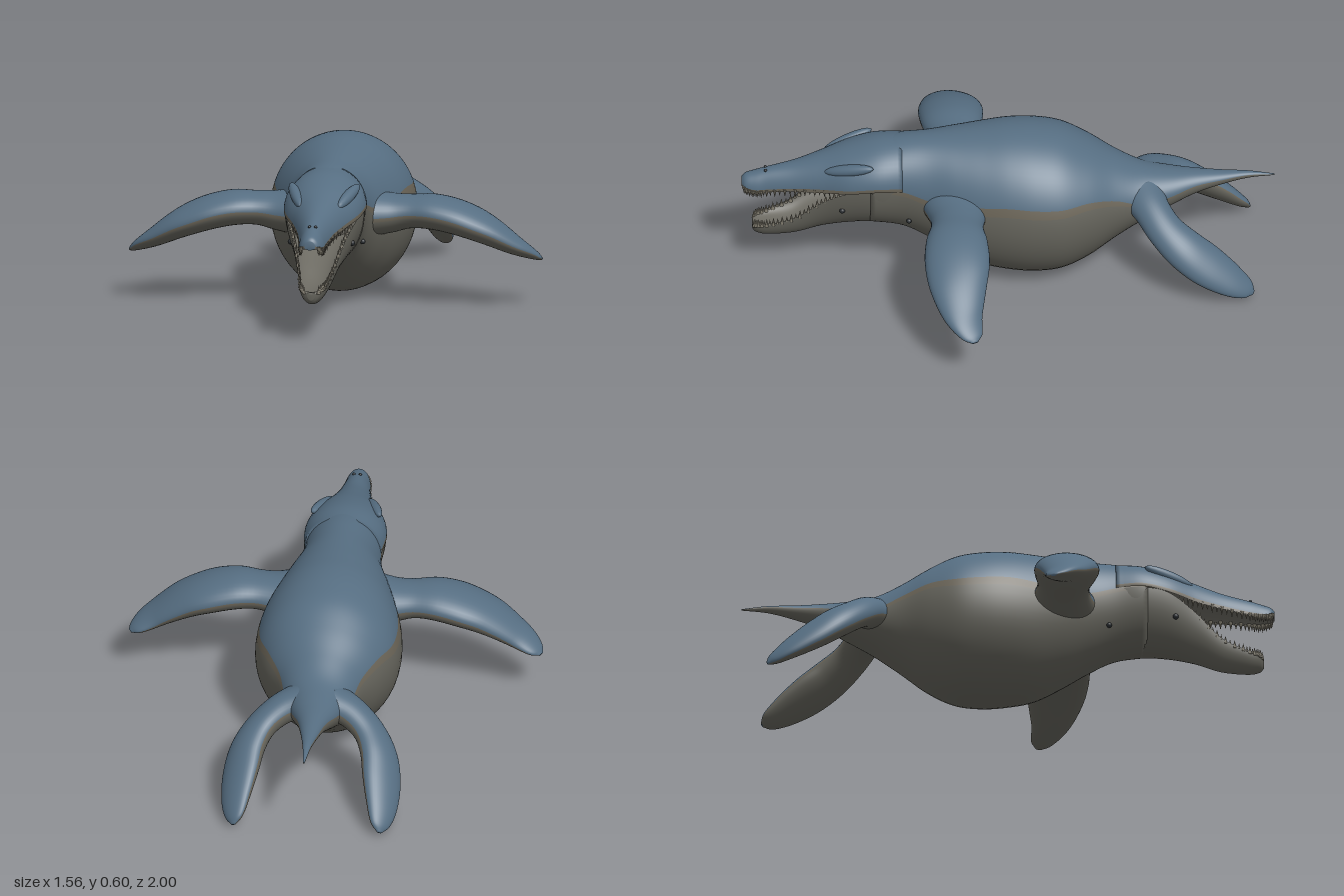
import * as THREE from 'three';

const mat = (name, color, side = THREE.FrontSide) => {
  const m = new THREE.MeshStandardMaterial({ color, side });
  m.name = name;
  return m;
};

// Skin a list of rings; the first half of each ring is the upper side.
// Groups: 0 upper skin, 1 thin transition band, 2 underside, 3 end caps.
function loft(rings, flip = false) {
  const n = rings[0].length, last = rings.length - 1;
  const pos = rings.flat().flatMap((p) => [p.x, p.y, p.z]);
  const buckets = [[], [], [], []];
  const tri = (g, a, b, c) => buckets[g].push(...(flip ? [a, c, b] : [a, b, c]));
  for (let j = 0; j < n; j++) {
    const k = (j + 1) % n;
    const g = j < n / 2 ? 0 : j === n / 2 || j === n - 1 ? 1 : 2;
    for (let i = 0; i < last; i++) {
      const a = i * n + j, b = i * n + k;
      tri(g, a, a + n, b);
      tri(g, b, a + n, b + n);
    }
  }
  [0, last].forEach((i, e) => {
    const c = new THREE.Vector3();
    rings[i].forEach((p) => c.addScaledVector(p, 1 / n));
    const ci = pos.length / 3;
    pos.push(c.x, c.y, c.z);
    for (let j = 0; j < n; j++) {
      const a = i * n + j, b = i * n + ((j + 1) % n);
      if (e) tri(3, ci, b, a); else tri(3, ci, a, b);
    }
  });
  const geo = new THREE.BufferGeometry();
  geo.setAttribute('position', new THREE.Float32BufferAttribute(pos, 3));
  geo.setIndex(buckets.flat());
  let start = 0;
  buckets.forEach((b, g) => { geo.addGroup(start, b.length, g); start += b.length; });
  geo.computeVertexNormals();
  return geo;
}

// Smoothly sample a table of stations with up to six columns
function sample(rows, steps) {
  const curve = (o) => new THREE.CatmullRomCurve3(
    rows.map((r) => new THREE.Vector3(r[o], r[o + 1] ?? 0, r[o + 2] ?? 0)), false, 'catmullrom', 0.5);
  const a = curve(0), b = curve(3);
  return Array.from({ length: steps + 1 }, (_, i) =>
    [...a.getPoint(i / steps).toArray(), ...b.getPoint(i / steps).toArray()]);
}

// Trunk or jaw: stations are [z, half width, top, bottom, widest height, colour line]
function trunk(rows, steps, n) {
  return loft(sample(rows, steps).map(([z, w, top, bot, mid, line]) => {
    const d = line - mid;
    const s = Math.abs(d) < 1e-5 ? 0 : d / (d > 0 ? top - mid : mid - bot);
    const a = Math.asin(THREE.MathUtils.clamp(s, -0.9, 0.9));
    return Array.from({ length: n }, (_, j) => {
      const u = j / (n / 2);
      const t = u < 1 ? a + u * (Math.PI - 2 * a) : Math.PI - a + (u - 1) * (Math.PI + 2 * a);
      const sn = Math.sin(t);
      return new THREE.Vector3(w * Math.cos(t), mid + sn * (sn > 0 ? top - mid : mid - bot), z);
    });
  }));
}

// Flipper: stations are [x, y, z, half chord, half thickness], root to tip
function flipper(rows, up, side, n = 36) {
  const st = sample(rows, 40);
  const P = st.map((r) => new THREE.Vector3(r[0], r[1], r[2]));
  return loft(st.map((r, i) => {
    const T = P[Math.min(i + 1, 40)].clone().sub(P[Math.max(i - 1, 0)]).normalize();
    const chord = T.clone().cross(up).normalize();
    const thick = chord.clone().cross(T);
    return Array.from({ length: n }, (_, j) => {
      const t = (j / n) * Math.PI * 2;
      const p = P[i].clone().addScaledVector(chord, Math.cos(t) * r[3])
        .addScaledVector(thick, Math.sin(t) * r[4]);
      p.x *= side;
      return p;
    });
  }), side < 0);
}

export function createModel() {
  const root = new THREE.Group();
  root.name = 'marineReptile';
  const blue = mat('slateBlueBack', 0x566e82);
  const brown = mat('brownTransition', 0x6a6457);
  const grey = mat('greyBelly', 0x64635b);
  const mouth = mat('mouthLining', 0x6c6a62);
  const bone = mat('teeth', 0x7d786b);
  const dark = mat('darkSpots', 0x2b2f33);
  const add = (name, geo, m) => {
    const mesh = new THREE.Mesh(geo, m);
    mesh.name = name;
    root.add(mesh);
    return mesh;
  };

  // Body from the neck to the tail tip
  add('body', trunk([
    [0.52, 0.15, 0.553, 0.213, 0.41, 0.44],
    [0.4, 0.145, 0.57, 0.19, 0.40, 0.42],
    [0.3, 0.165, 0.578, 0.14, 0.36, 0.39],
    [0.2, 0.205, 0.587, 0.08, 0.33, 0.385],
    [0.1, 0.24, 0.597, 0.03, 0.31, 0.40],
    [0, 0.265, 0.605, 0.01, 0.305, 0.41],
    [-0.1, 0.275, 0.60, 0.003, 0.305, 0.405],
    [-0.2, 0.265, 0.58, 0.015, 0.305, 0.40],
    [-0.3, 0.225, 0.53, 0.06, 0.31, 0.40],
    [-0.4, 0.165, 0.47, 0.13, 0.31, 0.37],
    [-0.5, 0.125, 0.42, 0.20, 0.31, 0.33],
    [-0.6, 0.09, 0.402, 0.255, 0.33, 0.335],
    [-0.7, 0.055, 0.395, 0.305, 0.35, 0.36],
    [-0.8, 0.032, 0.39, 0.338, 0.365, 0.37],
    [-0.9, 0.015, 0.388, 0.362, 0.376, 0.38],
    [-1, 0.003, 0.375, 0.37, 0.3725, 0.3725],
  ], 90, 64), [blue, brown, grey, mouth]);

  // Skull and upper jaw, with a hollow palate
  const upper = [
    [1.0, 0.02, 0.398, 0.365, 0.375, 0.38],
    [0.985, 0.038, 0.413, 0.368, 0.363, 0.375],
    [0.95, 0.048, 0.425, 0.375, 0.355, 0.37],
    [0.9, 0.052, 0.44, 0.385, 0.36, 0.375],
    [0.8, 0.07, 0.465, 0.405, 0.375, 0.39],
    [0.7, 0.10, 0.50, 0.43, 0.39, 0.405],
    [0.6, 0.14, 0.535, 0.46, 0.41, 0.425],
    [0.5, 0.155, 0.56, 0.48, 0.425, 0.44],
    [0.4, 0.146, 0.568, 0.45, 0.42, 0.435],
  ];
  add('upperJaw', trunk(upper, 48, 48), [blue, brown, mouth, blue]);

  // Lower jaw, with a hollow mouth floor
  const lower = [
    [0.96, 0.015, 0.195, 0.165, 0.19, 0.19],
    [0.945, 0.038, 0.195, 0.15, 0.205, 0.205],
    [0.9, 0.052, 0.19, 0.142, 0.215, 0.215],
    [0.8, 0.07, 0.20, 0.152, 0.255, 0.255],
    [0.7, 0.10, 0.24, 0.185, 0.345, 0.345],
    [0.6, 0.135, 0.28, 0.205, 0.41, 0.41],
    [0.5, 0.15, 0.33, 0.21, 0.425, 0.425],
    [0.4, 0.14, 0.40, 0.20, 0.42, 0.42],
  ];
  add('lowerJaw', trunk(lower, 48, 48), [mouth, grey, grey, grey]);

  // Teeth along both lips
  const tooth = new THREE.ConeGeometry(0.008, 0.034, 6);
  for (const [name, rows, dir] of [['upperTooth', upper, -1], ['lowerTooth', lower, 1]]) {
    sample(rows, 44).slice(4, 30).forEach(([z, w, , , mid], i) => {
      for (const s of [-1, 1]) {
        const t = add(name, tooth, bone);
        t.position.set(s * w * 0.93, mid + dir * 0.006, z);
        t.scale.setScalar(i % 2 ? 0.7 : 1);
        if (dir < 0) t.rotation.x = Math.PI;
      }
    });
  }

  const ball = new THREE.SphereGeometry(1, 20, 14);
  for (const s of [-1, 1]) {
    const side = s > 0 ? 'left' : 'right';
    // Brow ridge, nostril and small dark pits
    const brow = add(side + 'Brow', ball, blue);
    brow.position.set(s * 0.098, 0.492, 0.6);
    brow.scale.set(0.022, 0.022, 0.1);
    brow.rotation.set(0.28, -s * 0.3, 0);
    for (const [name, x, y, z, r] of [['Nostril', 0.012, 0.436, 0.91, 0.006],
      ['JawPit', 0.116, 0.32, 0.625, 0.011], ['NeckPit', 0.127, 0.275, 0.375, 0.01]]) {
      const pit = add(side + name, ball, dark);
      pit.position.set(s * x, y, z);
      pit.scale.setScalar(r);
    }
    // Front flipper sweeping out and down
    add(side + 'FrontFlipper', flipper([
      [0.12, 0.35, 0.2, 0.13, 0.09],
      [0.21, 0.352, 0.195, 0.108, 0.075],
      [0.29, 0.36, 0.198, 0.098, 0.063],
      [0.38, 0.36, 0.202, 0.115, 0.065],
      [0.48, 0.337, 0.203, 0.122, 0.063],
      [0.58, 0.295, 0.202, 0.108, 0.054],
      [0.68, 0.236, 0.186, 0.077, 0.036],
      [0.75, 0.194, 0.155, 0.045, 0.017],
      [0.775, 0.178, 0.143, 0.012, 0.005],
    ], new THREE.Vector3(0, 1, 0), s), [blue, brown, grey, blue]);
    // Hind flipper curving back
    add(side + 'HindFlipper', flipper([
      [0.05, 0.33, -0.5, 0.09, 0.07],
      [0.13, 0.31, -0.535, 0.07, 0.058],
      [0.2, 0.265, -0.585, 0.07, 0.052],
      [0.245, 0.21, -0.655, 0.08, 0.052],
      [0.265, 0.15, -0.735, 0.083, 0.046],
      [0.275, 0.09, -0.82, 0.068, 0.034],
      [0.275, 0.045, -0.885, 0.042, 0.02],
      [0.275, 0.025, -0.912, 0.01, 0.006],
    ], new THREE.Vector3(0.5, 0.8, 0), s), [blue, brown, grey, blue]);
  }
  return root;
}
